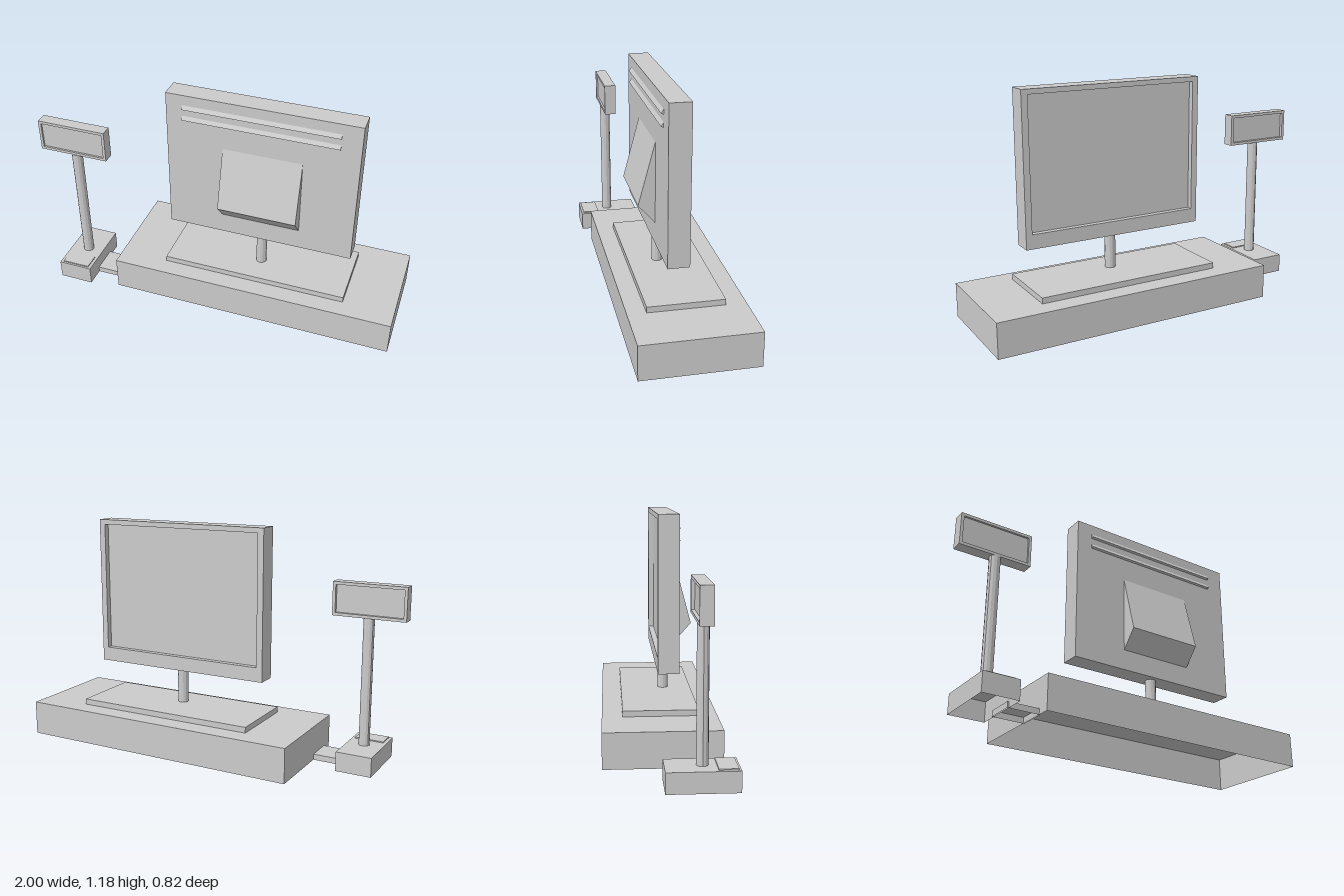
import * as THREE from 'three';

const material = new THREE.MeshStandardMaterial({ color: 0xcccccc, flatShading: true, side: THREE.DoubleSide });

function add(parent, name, geometry, x = 0, y = 0, z = 0) {
  const mesh = new THREE.Mesh(geometry, material);
  mesh.name = name;
  mesh.position.set(x, y, z);
  parent.add(mesh);
  return mesh;
}

// Box standing on y = 0 with no underside
function openBox(w, h, d) {
  const g = new THREE.BoxGeometry(w, h, d).translate(0, h / 2, 0);
  const index = Array.from(g.index.array);
  index.splice(18, 6);
  g.setIndex(index);
  g.clearGroups();
  return g;
}

function rectangle(path, x0, y0, x1, y1) {
  path.moveTo(x0, y0).lineTo(x1, y0).lineTo(x1, y1).lineTo(x0, y1).closePath();
  return path;
}

// Rectangular ring; border widths are side, bottom, top
function bezel(w, h, depth, side, bottom, top) {
  const shape = rectangle(new THREE.Shape(), -w / 2, 0, w / 2, h);
  shape.holes.push(rectangle(new THREE.Path(), -w / 2 + side, bottom, w / 2 - side, h - top));
  return new THREE.ExtrudeGeometry(shape, { depth, bevelEnabled: false });
}

// Profile of [outward, height] points swept across x
function wedge(points, width) {
  const shape = new THREE.Shape(points.map(([z, y]) => new THREE.Vector2(z, y)));
  const g = new THREE.ExtrudeGeometry(shape, { depth: width, bevelEnabled: false });
  return g.translate(0, 0, -width / 2).rotateY(-Math.PI / 2);
}

function pole(h) {
  return new THREE.CylinderGeometry(0.028, 0.028, h, 12).translate(0, h / 2, 0);
}

export function createModel() {
  const model = new THREE.Group();
  model.name = 'cashRegister';

  // The whole till is turned slightly
  const till = new THREE.Group();
  till.name = 'till';
  till.position.x = 0.205;
  till.rotation.y = -0.17;
  model.add(till);

  // Drawer box, plinth and monitor stand
  add(till, 'drawerBox', openBox(1.514, 0.18, 0.577));
  add(till, 'plinth', openBox(0.984, 0.03, 0.381), -0.004, 0.18, 0.005);
  add(till, 'monitorPole', pole(0.19), 0, 0.208, 0.046);

  // Monitor: solid body with a recessed screen at the back
  const monitor = new THREE.Group();
  monitor.name = 'monitor';
  monitor.position.set(-0.006, 0.395, 0);
  till.add(monitor);
  add(monitor, 'monitorBody', new THREE.BoxGeometry(0.986, 0.785, 0.076), 0, 0.3925, 0.059);
  add(monitor, 'screenBezel', bezel(0.986, 0.785, 0.03, 0.033, 0.075, 0.026), 0, 0, -0.009);

  // Housing and louvres on the monitor's front-facing side
  add(monitor, 'housing', wedge([[0, 0.11], [0.084, 0.205], [0, 0.52]], 0.412), 0.008, 0, 0.097);
  for (const y of [0.645, 0.705]) {
    add(monitor, 'louvre', wedge([[0, 0], [0.012, 0.005], [0, 0.025]], 0.8), -0.008, y, 0.097);
  }

  // Customer display on its own foot
  const display = new THREE.Group();
  display.name = 'customerDisplay';
  display.position.set(-1.001, 0, 0.154);
  till.add(display);
  add(display, 'displayFoot', openBox(0.183, 0.1, 0.335));
  add(display, 'footPanel', openBox(0.15, 0.006, 0.09), 0, 0.1, 0.112);
  add(display, 'connector', openBox(0.165, 0.03, 0.145), 0.167, 0, -0.006);
  add(display, 'displayPole', pole(0.657), 0.005, 0.099, 0.003);

  // Display head, recessed on both faces
  const head = new THREE.Group();
  head.name = 'displayHead';
  head.position.set(-0.003, 0.755, -0.004);
  display.add(head);
  add(head, 'headBody', new THREE.BoxGeometry(0.375, 0.17, 0.035), 0, 0.085, 0.0035);
  add(head, 'frontBezel', bezel(0.375, 0.17, 0.01, 0.015, 0.015, 0.015), 0, 0, 0.021);
  add(head, 'backBezel', bezel(0.375, 0.17, 0.017, 0.015, 0.015, 0.015), 0, 0, -0.031);

  return model;
}
